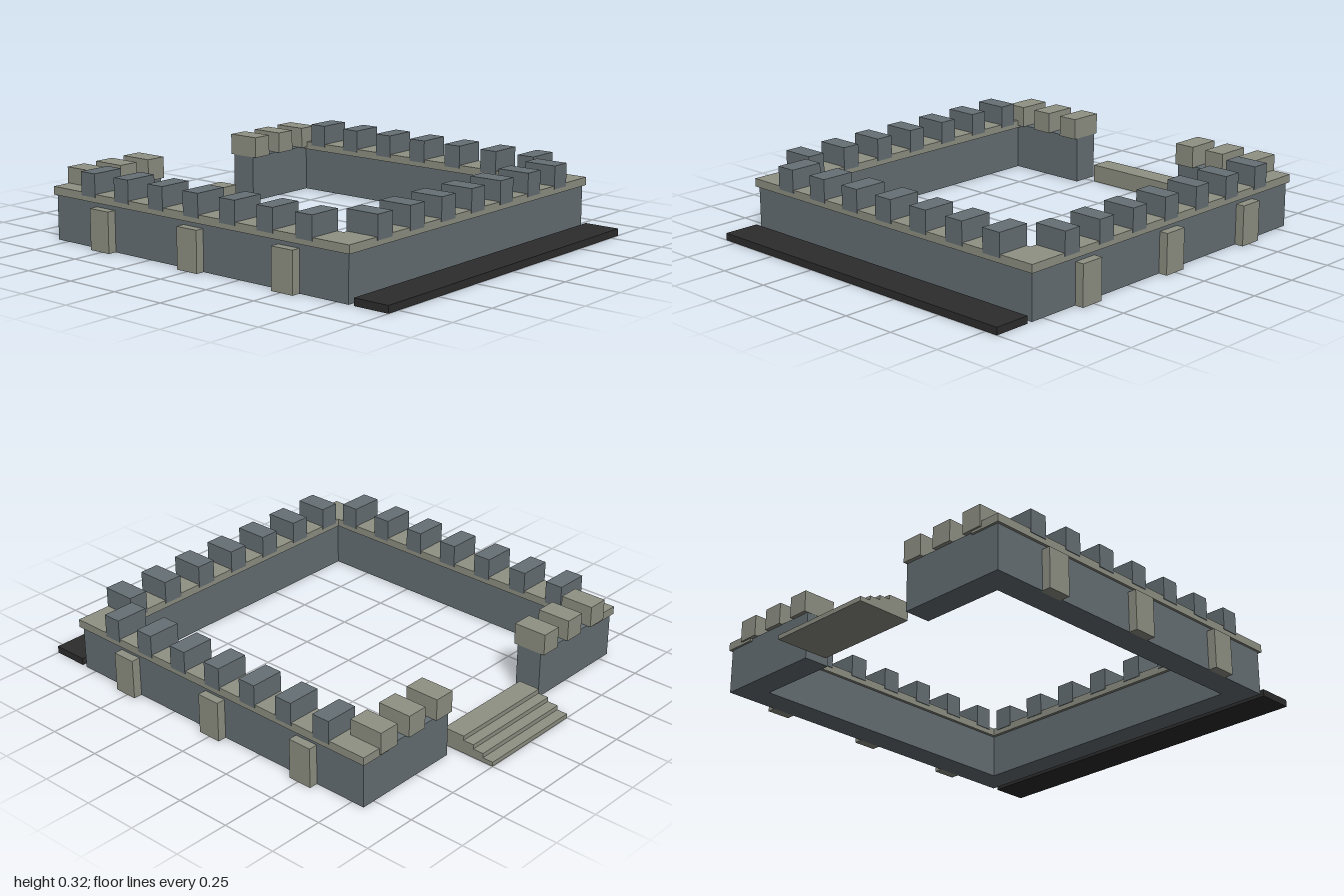
import * as THREE from 'three';

export function createModel() {
  const model = new THREE.Group();
  model.name = 'castleWall';

  const material = (name, color) => {
    const m = new THREE.MeshStandardMaterial({ color });
    m.name = name;
    return m;
  };
  const wallStone = material('wallStone', 0x667075);
  const trimStone = material('trimStone', 0x8f9184);
  const darkSlab = material('darkSlab', 0x2d2d2d);

  // Box given by its min and max on each axis
  const box = (name, mat, [x0, x1], [y0, y1], [z0, z1]) => {
    const mesh = new THREE.Mesh(new THREE.BoxGeometry(x1 - x0, y1 - y0, z1 - z0), mat);
    mesh.position.set((x0 + x1) / 2, (y0 + y1) / 2, (z0 + z1) / 2);
    mesh.name = name;
    model.add(mesh);
  };
  // Mirrored range for the right (-x) side
  const side = (s, a, b) => (s > 0 ? [a, b] : [-b, -a]);

  // Front wall with coping and merlons
  box('frontWall', wallStone, [-0.81, 0.81], [0, 0.2], [0.69, 0.81]);
  box('frontCoping', trimStone, [-0.822, 0.822], [0.2, 0.236], [0.675, 0.822]);
  for (let i = -3; i <= 3; i++) {
    const x = i * 0.203;
    box('frontMerlon', wallStone, [x - 0.046, x + 0.046], [0.222, 0.325], [0.672, 0.825]);
  }

  for (const s of [1, -1]) {
    // Side walls with coping and merlons
    box('sideWall', wallStone, side(s, 0.69, 0.81), [0, 0.2], [-0.81, 0.69]);
    box('sideCoping', trimStone, side(s, 0.675, 0.822), [0.2, 0.236], [-0.82, 0.675]);
    for (let i = -3; i <= 3; i++) {
      const z = i * 0.2;
      box('sideMerlon', wallStone, side(s, 0.672, 0.825), [0.222, 0.325], [z - 0.042, z + 0.042]);
    }

    // Buttresses on the outer face
    for (const z of [-0.51, 0, 0.51]) {
      box('buttress', trimStone, side(s, 0.8, 0.85), [0, 0.18], [z - 0.055, z + 0.055]);
    }

    // Short back walls beside the gate opening
    box('backWall', wallStone, side(s, 0.305, 0.69), [0, 0.212], [-0.81, -0.69]);
    for (const x of [0.352, 0.518, 0.684]) {
      box('backMerlon', trimStone, side(s, x - 0.048, x + 0.048), [0.211, 0.307], [-0.828, -0.672]);
    }
  }

  // Gate steps, rising toward the courtyard
  for (let i = 0; i < 4; i++) {
    const z = -1 + i * 0.05;
    box('step', trimStone, [-0.25, 0.25], [0, 0.02 * (i + 1)], [z, i === 3 ? -0.75 : z + 0.05]);
  }

  // Dark slab in front of the wall
  box('frontSlab', darkSlab, [-0.81, 0.81], [0, 0.032], [0.835, 1]);

  return model;
}
